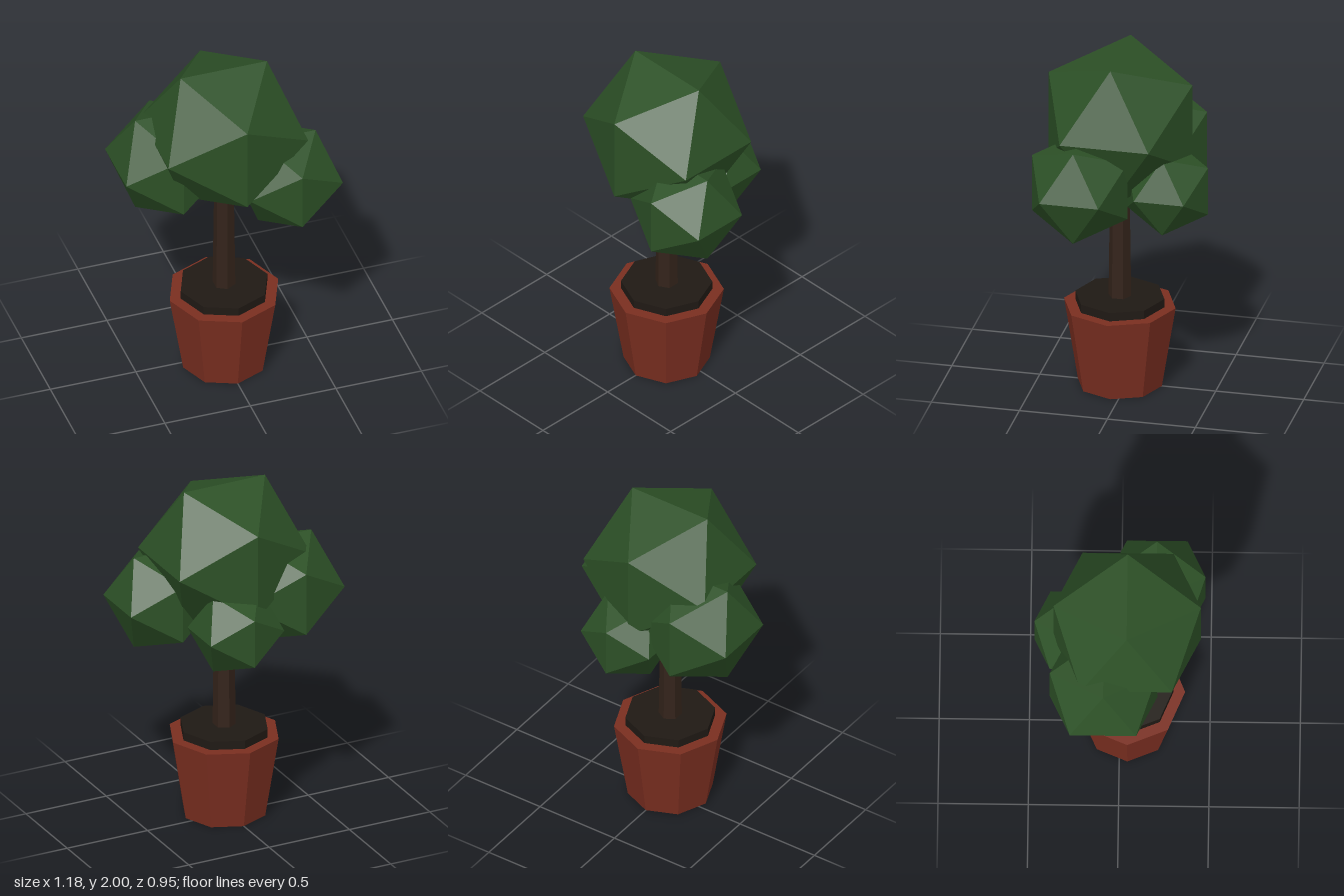
import * as THREE from 'three';

const paint = (color) => new THREE.MeshStandardMaterial({ color, flatShading: true });

export function createModel() {
  const tree = new THREE.Group();
  tree.name = 'pottedTree';

  const terracotta = paint(0x7a2e20);
  const earth = paint(0x1f1914);
  const bark = paint(0x33231a);
  const leaves = paint(0x2c5026);

  const add = (name, geometry, material, x, y, z) => {
    const mesh = new THREE.Mesh(geometry, material);
    mesh.name = name;
    mesh.position.set(x, y, z);
    tree.add(mesh);
  };

  // Tapered upright prism standing between two heights on the trunk axis
  const axisZ = 0.045;
  const prism = (name, rTop, rBottom, y0, y1, sides, material) =>
    add(name, new THREE.CylinderGeometry(rTop, rBottom, y1 - y0, sides), material, 0, (y0 + y1) / 2, axisZ);

  // Octagonal pot, soil disc and six-sided trunk
  prism('pot', 0.317, 0.239, 0, 0.48, 8, terracotta);
  prism('soil', 0.253, 0.253, 0.43, 0.53, 8, earth);
  prism('trunk', 0.053, 0.065, 0.48, 1.4, 6, bark);

  // Foliage clumps: name, radius, centre
  const clumps = [
    ['crownFoliage', 0.48, 0, 1.592, 0.041],
    ['rightFoliage', 0.35, -0.291, 1.373, -0.086],
    ['leftFoliage', 0.319, 0.315, 1.309, 0.2],
    ['backFoliage', 0.269, 0.076, 1.246, -0.245],
  ];
  for (const [name, radius, x, y, z] of clumps) {
    add(name, new THREE.IcosahedronGeometry(radius, 0), leaves, x, y, z);
  }

  return tree;
}
